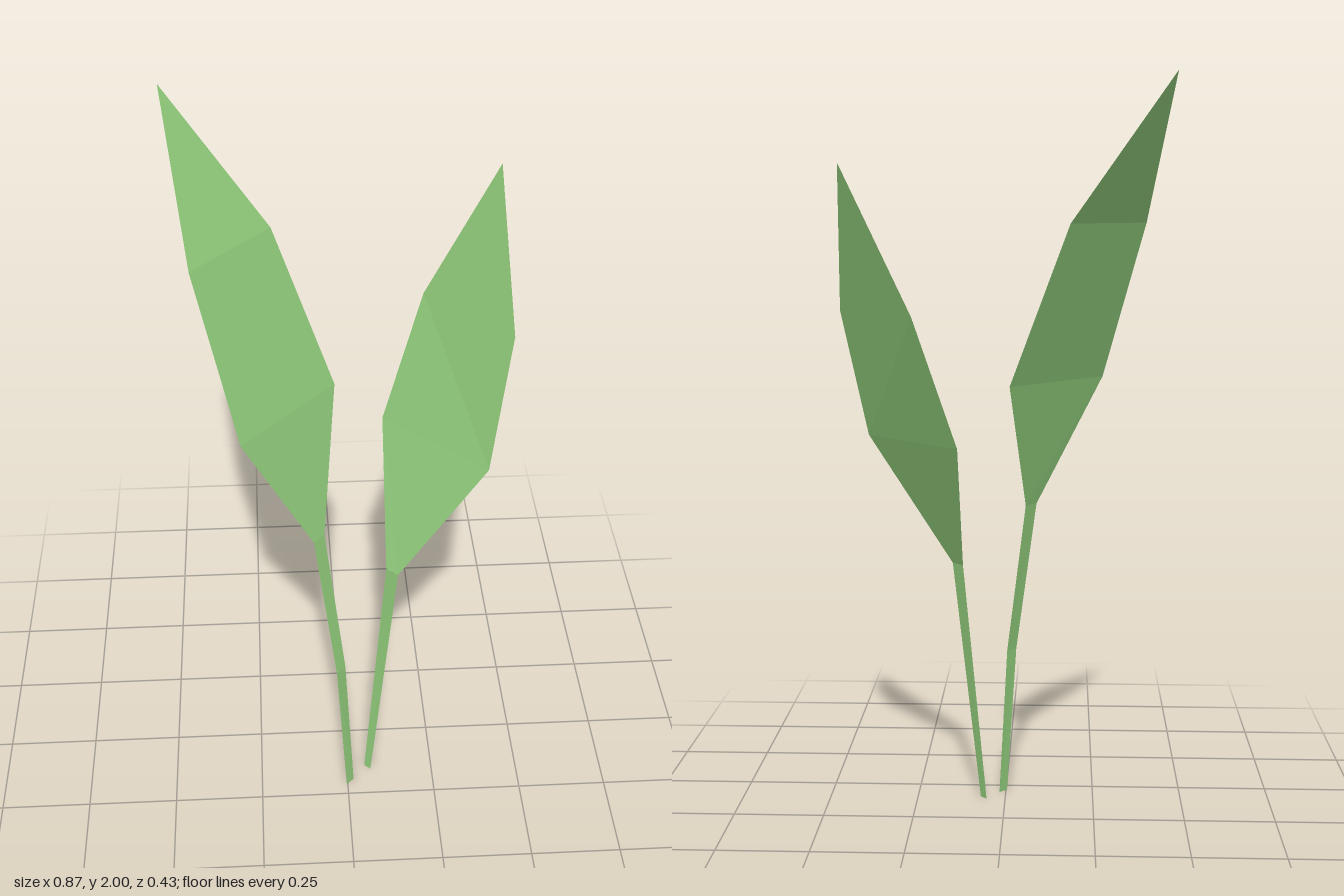
import * as THREE from 'three';

const leafGreen = new THREE.MeshStandardMaterial({ color: 0x8cc577, side: THREE.DoubleSide });
leafGreen.name = 'leaf green';

// Flat ribbon through cross-sections [y, leftX, leftZ, rightX, rightZ]; a tip is [y, x, z].
function ribbon(name, sections) {
  const pos = [];
  for (let i = 0; i < sections.length - 1; i++) {
    const [y0, ax, az, bx, bz] = sections[i];
    const [y1, cx, cz, dx, dz] = sections[i + 1];
    pos.push(ax, y0, az, bx, y0, bz, cx, y1, cz);
    if (dx !== undefined) pos.push(bx, y0, bz, dx, y1, dz, cx, y1, cz);
  }
  const geometry = new THREE.BufferGeometry();
  geometry.setAttribute('position', new THREE.Float32BufferAttribute(pos, 3));
  geometry.computeVertexNormals();
  const mesh = new THREE.Mesh(geometry, leafGreen);
  mesh.name = name;
  return mesh;
}

// A leaf is a narrow stalk that widens into a pointed blade from section `neck` on.
function leaf(name, sections, neck) {
  const group = new THREE.Group();
  group.name = name;
  group.add(ribbon('stalk', sections.slice(0, neck + 1)), ribbon('blade', sections.slice(neck)));
  return group;
}

export function createModel() {
  const model = new THREE.Group();
  model.name = 'leafSprout';
  model.add(
    leaf('tallLeaf', [
      [0, -0.003, 0.215, 0.018, 0.195],
      [0.43, -0.03, 0.195, -0.005, 0.168],
      [0.86, -0.087, 0.143, -0.058, 0.11],
      [1.21, -0.267, 0.182, -0.02, -0.086],
      [1.63, -0.375, 0.045, -0.175, -0.172],
      [2, -0.435, -0.212],
    ], 2),
    leaf('shortLeaf', [
      [0, 0.053, 0.143, 0.07, 0.158],
      [0.7, 0.113, 0.07, 0.143, 0.099],
      [1.055, 0.113, -0.145, 0.372, 0.108],
      [1.4, 0.222, -0.218, 0.432, 0.012],
      [1.78, 0.405, -0.192],
    ], 1),
  );
  return model;
}
